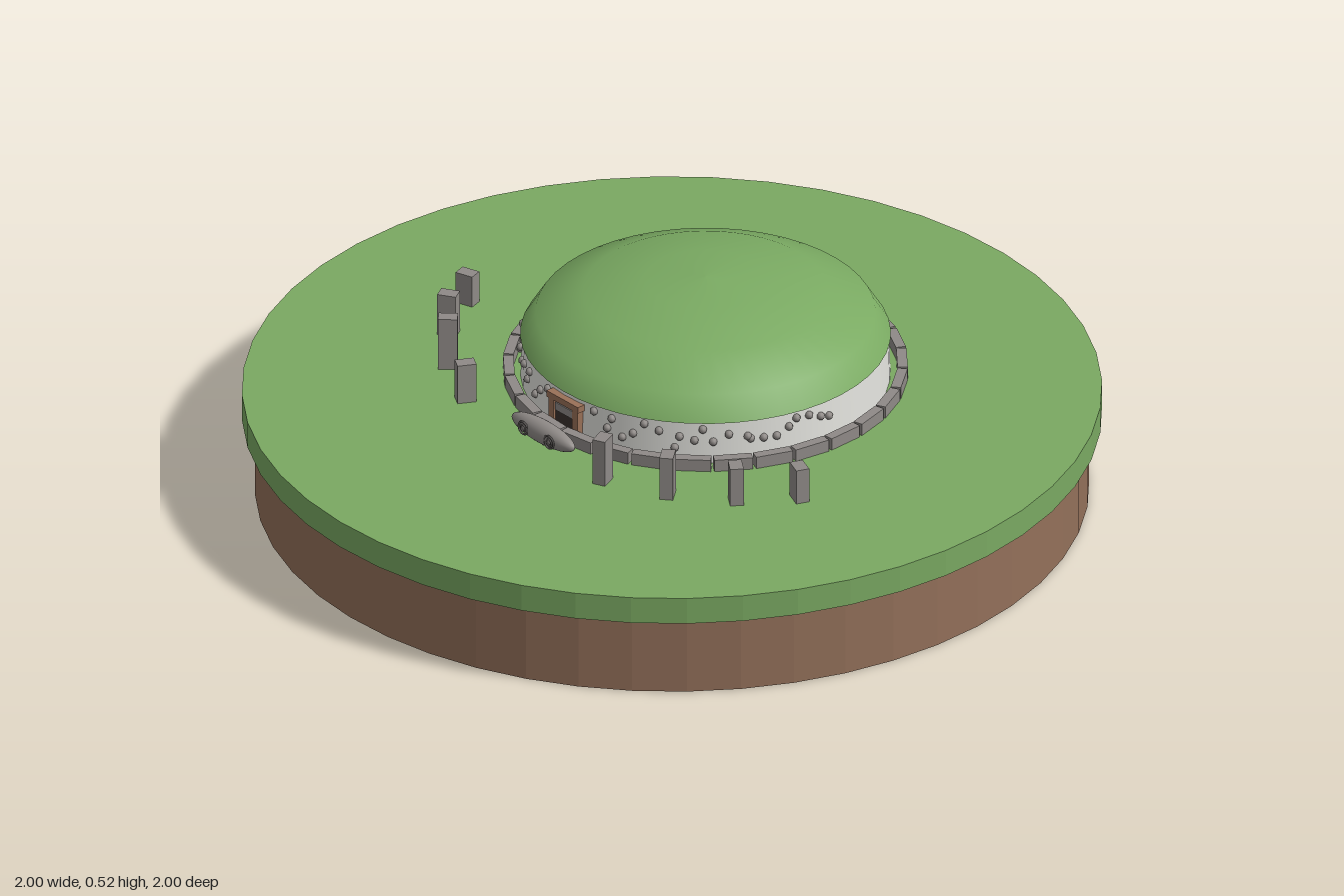
import * as THREE from 'three';

const mat = (name, color, extra = {}) => {
  const m = new THREE.MeshStandardMaterial({ color, ...extra });
  m.name = name;
  return m;
};

export function createModel() {
  const grass = mat('grass', 0x7aa962, { flatShading: true });
  const turf = mat('turf', 0x7aaa62);
  const earth = mat('earth', 0x93705a, { flatShading: true });
  const quartz = mat('white quartz', 0xe4e4df);
  const stone = mat('grey stone', 0x8f8a87);
  const carving = mat('dark carving', 0x5c5856);
  const timber = mat('doorway brown', 0x9a7158);
  const shade = mat('passage shadow', 0x3a322d);

  const model = new THREE.Group();
  model.name = 'moundModel';
  const add = (parent, name, geo, material, x = 0, y = 0, z = 0) => {
    const mesh = new THREE.Mesh(geo, material);
    mesh.name = name;
    mesh.position.set(x, y, z);
    parent.add(mesh);
    return mesh;
  };
  const group = (parent, name, x = 0, y = 0, z = 0, turn = 0) => {
    const g = new THREE.Group();
    g.name = name;
    g.position.set(x, y, z);
    g.rotation.y = turn;
    parent.add(g);
    return g;
  };
  const lathe = (pts) =>
    new THREE.LatheGeometry(pts.map(([r, y]) => new THREE.Vector2(r, y)), 48);

  // Round base: soil with a wider grass slab on top
  const GROUND = 0.265;
  add(model, 'soilBase', new THREE.CylinderGeometry(0.97, 0.97, 0.2, 48), earth, 0, 0.1, 0);
  add(model, 'grassSlab', new THREE.CylinderGeometry(1, 1, 0.067, 48), grass, 0, 0.2315, 0);

  // Mound: white wall and turf dome; local y = 0 is the grass surface
  const CX = 0.035, CZ = -0.1;
  const mound = group(model, 'mound', CX, GROUND, CZ);
  add(mound, 'quartzWall', lathe([[0.43, 0], [0.427, 0.107]]), quartz);
  add(mound, 'turfDome',
    lathe([[0.431, 0.105], [0.395, 0.163], [0.285, 0.217], [0.14, 0.248], [0, 0.256]]), turf);
  const rim = add(mound, 'domeUnderside', new THREE.CircleGeometry(0.431, 48), turf, 0, 0.105, 0);
  rim.rotation.x = Math.PI / 2;

  // Kerb stones around the foot of the wall
  const kerb = group(mound, 'kerb');
  const KERBS = 30;
  for (let i = 0; i < KERBS; i++) {
    const spoke = group(kerb, 'kerbSpoke', 0, 0, 0, (i / KERBS) * Math.PI * 2);
    add(spoke, 'kerbStone', new THREE.BoxGeometry(0.09, 0.03, 0.024), stone, 0, 0.015, 0.457);
  }

  // Small round cobbles set into the front of the wall
  let seed = 7;
  const rand = () => (seed = (seed * 16807) % 2147483647) / 2147483647;
  const cobbles = group(mound, 'cobbles');
  const pebble = new THREE.SphereGeometry(0.01, 8, 6);
  for (let i = 0; i < 38; i++) {
    const a = -1.25 + 2.5 * ((i + rand()) / 38);
    if (Math.abs(a + 0.36) < 0.17) continue; // leave the doorway clear
    add(cobbles, 'cobble', pebble, stone,
      Math.sin(a) * 0.43, 0.035 + rand() * 0.06, Math.cos(a) * 0.43);
  }

  // Doorway, turned to the model's right of the front
  const door = group(mound, 'doorway', 0, 0, 0, -0.36);
  add(door, 'passageOpening', new THREE.BoxGeometry(0.07, 0.075, 0.008), shade, 0, 0.0375, 0.431);
  for (const s of [-1, 1]) {
    add(door, 'doorJamb', new THREE.BoxGeometry(0.018, 0.08, 0.03), timber, s * 0.042, 0.04, 0.427);
  }
  add(door, 'doorLintel', new THREE.BoxGeometry(0.11, 0.016, 0.034), timber, 0, 0.086, 0.427);
  add(door, 'lightBox', new THREE.BoxGeometry(0.06, 0.02, 0.02), stone, 0, 0.062, 0.43);

  // Carved oval stone lying before the doorway
  const entrance = group(door, 'entranceStone', 0, 0.028, 0.502);
  const oval = add(entrance, 'ovalStone', new THREE.SphereGeometry(1, 24, 14), stone);
  oval.scale.set(0.108, 0.028, 0.026);
  for (const x of [-0.045, 0.045]) {
    for (const r of [0.008, 0.016]) {
      add(entrance, 'carvedRing', new THREE.TorusGeometry(r, 0.0025, 6, 18), carving, x, 0, 0.023);
    }
  }

  // Arc of standing stones facing the mound: x, z, height
  const standing = group(model, 'standingStones');
  [
    [-0.61, -0.135, 0.08], [-0.58, 0.015, 0.107], [-0.507, 0.155, 0.133], [-0.397, 0.275, 0.1],
    [0.065, 0.465, 0.117], [0.23, 0.455, 0.11], [0.383, 0.405, 0.097], [0.508, 0.325, 0.088],
  ].forEach(([x, z, h]) => {
    const s = add(standing, 'standingStone', new THREE.BoxGeometry(0.032, h, 0.045), stone,
      x, GROUND + h / 2, z);
    s.rotation.y = Math.atan2(x - CX, z - CZ);
  });

  return model;
}
